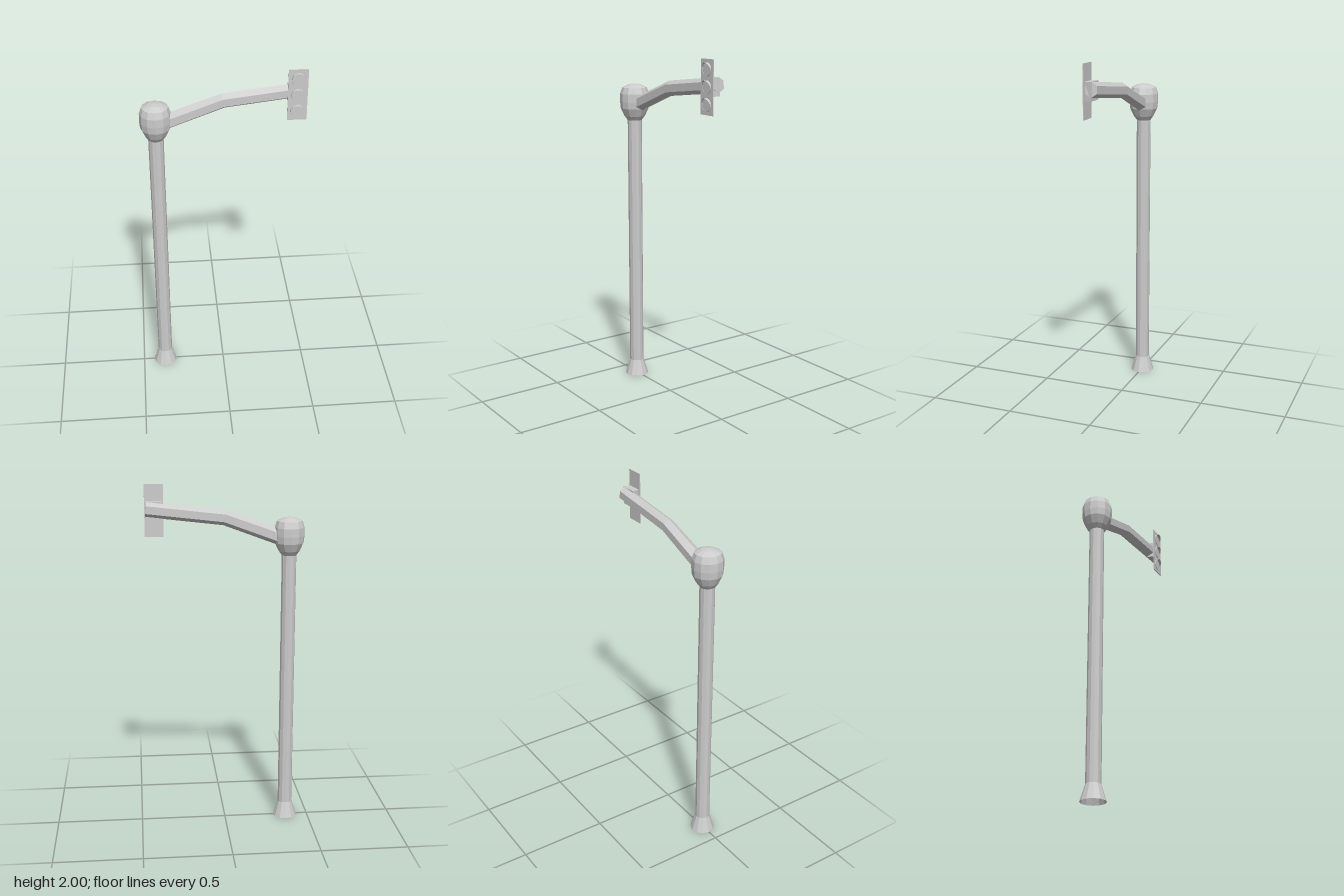
import * as THREE from 'three';

const material = new THREE.MeshStandardMaterial({ color: 0xcccccc, flatShading: true, side: THREE.DoubleSide });
const POLE_X = -0.365;
const LIGHT_X = 0.393;

function add(parent, name, geometry, x = 0, y = 0, z = 0) {
  const mesh = new THREE.Mesh(geometry, material);
  mesh.name = name;
  mesh.position.set(x, y, z);
  parent.add(mesh);
  return mesh;
}

function lathe(points) {
  return new THREE.LatheGeometry(points.map(([r, y]) => new THREE.Vector2(r, y)), 12);
}

// Skin a list of equal-sized rings; optionally cap both ends with fans
function loft(rings, capped) {
  const n = rings[0].length;
  const index = [];
  for (let k = 0; k < rings.length - 1; k++) {
    for (let i = 0; i < n; i++) {
      const j = (i + 1) % n;
      const a = k * n + i, b = k * n + j, c = a + n, d = b + n;
      index.push(a, b, d, a, d, c);
    }
  }
  if (capped) {
    const last = (rings.length - 1) * n;
    for (let i = 1; i < n - 1; i++) {
      index.push(0, i + 1, i, last, last + i, last + i + 1);
    }
  }
  const geometry = new THREE.BufferGeometry();
  geometry.setAttribute('position', new THREE.Float32BufferAttribute(rings.flat(2), 3));
  geometry.setIndex(index);
  geometry.computeVertexNormals();
  return geometry;
}

// Six-sided arm section with a ridge on top and below
function armRing(x, y, halfHeight, halfWidth, lean) {
  const ring = [];
  for (let i = 0; i < 6; i++) {
    const a = (i * Math.PI) / 3;
    const h = Math.cos(a) * halfHeight;
    ring.push([x - h * lean, y + h, (Math.sin(a) * halfWidth) / Math.sin(Math.PI / 3)]);
  }
  return ring;
}

// Open hood around a lamp, deep at the top and shallow at the bottom
function visorGeometry(radius) {
  const back = [], front = [];
  for (let i = 0; i < 12; i++) {
    const a = ((i + 0.5) * Math.PI) / 6;
    const x = Math.cos(a) * radius, y = Math.sin(a) * radius;
    const depth = 0.003 + 0.016 * Math.max(0, Math.sin(a));
    back.push([x, y, 0]);
    front.push([x * 0.97, y * 0.97, depth]);
  }
  return loft([back, front], false);
}

export function createModel() {
  const model = new THREE.Group();
  model.name = 'trafficSignal';

  // Hollow pole with flared foot
  add(model, 'pole', lathe([[0.071, 0], [0.042, 0.092], [0.042, 1.61]]), POLE_X);

  // Rounded joint at the top of the pole
  add(model, 'poleHead', lathe([
    [0.042, 1.6], [0.061, 1.625], [0.082, 1.67], [0.086, 1.71],
    [0.085, 1.757], [0.073, 1.793], [0.038, 1.81], [0, 1.816],
  ]), POLE_X);

  // Bent arm reaching out to the light
  add(model, 'arm', loft([
    armRing(-0.32, 1.699, 0.043, 0.038, 0.33),
    armRing(0, 1.815, 0.042, 0.033, 0.2),
    armRing(0.438, 1.866, 0.042, 0.033, 0.11),
  ], true));

  // Light head: tapered bracket, backing panel and three hooded lamps
  const light = new THREE.Group();
  light.name = 'lightHead';
  light.position.set(LIGHT_X, 1.853, 0);
  model.add(light);

  const bracket = new THREE.BoxGeometry(0.102, 0.1, 0.042);
  const p = bracket.attributes.position;
  for (let i = 0; i < p.count; i++) {
    if (p.getZ(i) > 0) p.setX(i, p.getX(i) * 0.8);
  }
  add(light, 'bracket', bracket, 0, 0.003, 0.018);
  add(light, 'panel', new THREE.BoxGeometry(0.106, 0.294, 0.005), 0, 0, 0.041);
  for (const y of [-0.093, 0, 0.093]) {
    add(light, 'lampVisor', visorGeometry(0.037), 0, y, 0.0435);
  }

  return model;
}
